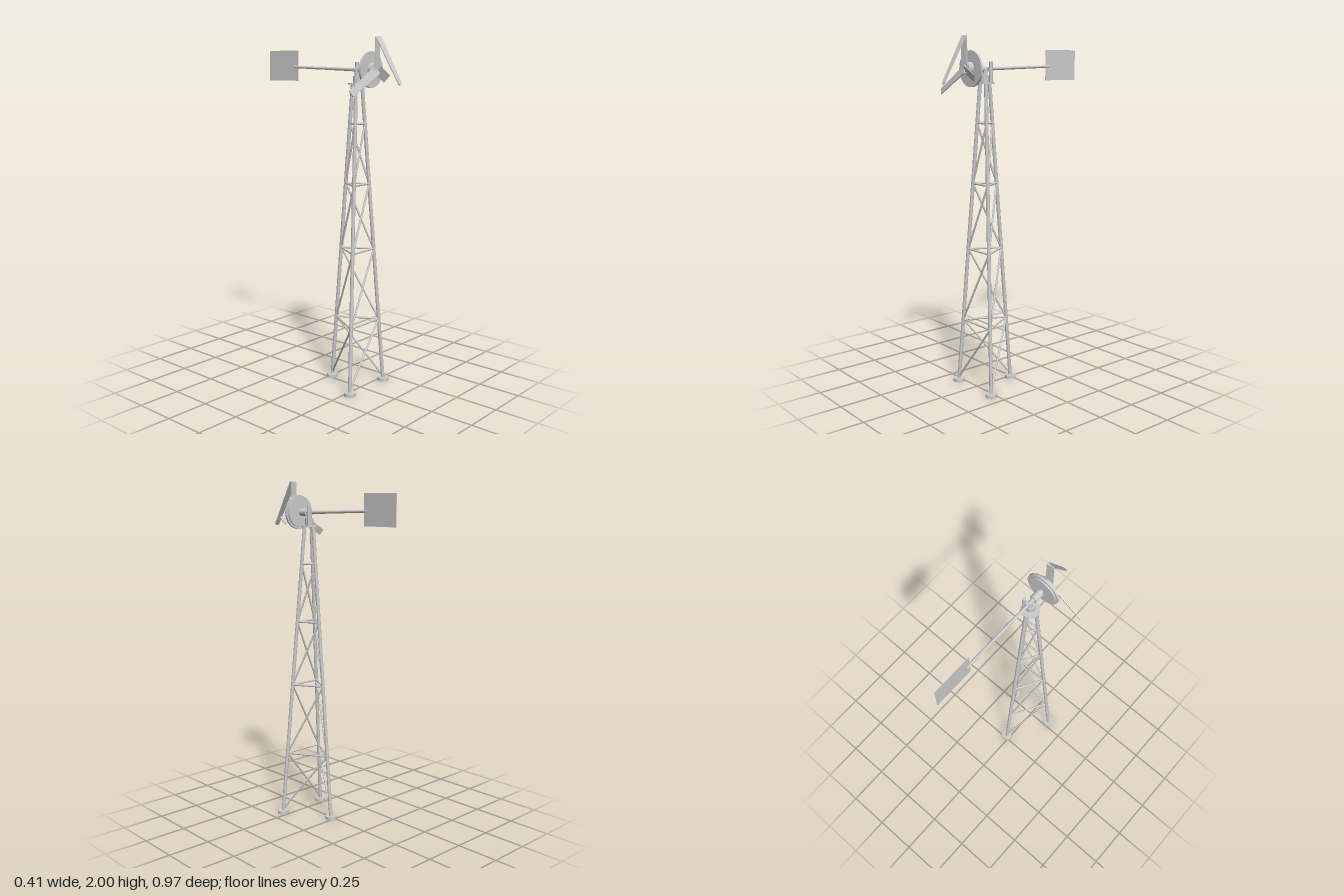
import * as THREE from 'three';

export function createModel() {
  const model = new THREE.Group();
  const steel = new THREE.MeshStandardMaterial({ color: 0xcccccc });
  const CX = 0.019, CZ = 0.193, HUB_Y = 1.825;
  const V = (x, y, z) => new THREE.Vector3(x, y, z);

  function add(name, geometry, parent = model) {
    const mesh = new THREE.Mesh(geometry, steel);
    mesh.name = name;
    parent.add(mesh);
    return mesh;
  }

  // Round bar from a to b, optionally tapering
  function bar(name, a, b, r0, r1 = r0, sides = 10, parent = model) {
    const d = b.clone().sub(a);
    const mesh = add(name, new THREE.CylinderGeometry(r1, r0, d.length(), sides), parent);
    mesh.position.copy(a).addScaledVector(d, 0.5);
    mesh.quaternion.setFromUnitVectors(V(0, 1, 0), d.normalize());
    return mesh;
  }

  // Centre line of a tower leg at height y
  function legPoint(i, y) {
    const r = THREE.MathUtils.lerp(0.1785, 0.03, y / 1.75);
    const a = Math.PI / 6 + (i * Math.PI * 2) / 3;
    return V(CX + r * Math.cos(a), y, CZ + r * Math.sin(a));
  }

  // Three-legged lattice tower, one brace per face spiralling upward
  const tower = new THREE.Group();
  tower.name = 'tower';
  model.add(tower);
  const levels = [0.03, 0.385, 0.81, 1.19, 1.53];
  for (let i = 0; i < 3; i++) {
    const j = (i + 1) % 3;
    const foot = legPoint(i, 0);
    bar('foot', foot, V(foot.x, 0.02, foot.z), 0.033, 0.033, 24, tower);
    bar('leg', foot, legPoint(i, 1.75), 0.0105, 0.0105, 10, tower);
    for (let k = 1; k < levels.length; k++) {
      const lo = levels[k - 1], hi = levels[k];
      bar('crossBar', legPoint(i, hi), legPoint(j, hi), 0.006, 0.006, 8, tower);
      bar('diagonalBrace', legPoint(j, lo), legPoint(i, hi), 0.0055, 0.0055, 8, tower);
    }
  }

  // Tower head
  bar('topPlate', V(CX, 1.744, CZ), V(CX, 1.752, CZ), 0.05, 0.05, 32);
  bar('yawTube', V(CX, 1.752, CZ + 0.003), V(CX, 1.79, CZ + 0.003), 0.024, 0.024, 24);
  bar('yawPin', V(CX, 1.79, CZ), V(CX, 1.825, CZ), 0.013, 0.013, 16);
  bar('pivotPost', V(0.044, 1.752, 0.172), V(0.044, 1.865, 0.172), 0.01, 0.01, 16);
  add('boomBracket', new THREE.BoxGeometry(0.035, 0.022, 0.018)).position.set(CX + 0.008, HUB_Y - 0.003, 0.176);

  // Generator, shaft and hub, turned along z
  const along = (name, z0, z1, r, sides = 32) => bar(name, V(CX, HUB_Y, z0), V(CX, HUB_Y, z1), r, r, sides);
  along('shaft', 0.18, 0.335, 0.011, 16);
  along('generatorHousing', 0.212, 0.265, 0.021);
  along('rearRotorDisc', 0.276, 0.284, 0.085);
  along('generatorDisc', 0.284, 0.296, 0.098);
  along('hub', 0.296, 0.328, 0.037);
  for (let i = 0; i < 6; i++) {
    const a = (i * Math.PI) / 3;
    const x = CX + 0.024 * Math.cos(a), y = HUB_Y + 0.024 * Math.sin(a);
    bar('hubBolt', V(x, y, 0.326), V(x, y, 0.338), 0.005, 0.005, 8);
  }

  // Thin blade panel growing along +y, with an optional rounded tip
  function bladeGeometry(length, w0, w1, round = 0) {
    const s = new THREE.Shape();
    const a = w0 / 2, b = w1 / 2;
    s.moveTo(-a, 0);
    s.lineTo(a, 0);
    s.lineTo(b, length - round);
    if (round) s.bezierCurveTo(b, length, -b, length, -b, length - round);
    else s.lineTo(-b, length);
    s.closePath();
    const g = new THREE.ExtrudeGeometry(s, { depth: 0.005, bevelEnabled: false, curveSegments: 10 });
    return g.translate(0, 0, -0.0025);
  }

  // Rotor: one long blade, one snapped stub, one blade folded forward
  const rotor = new THREE.Group();
  rotor.name = 'rotor';
  rotor.position.set(CX, HUB_Y, 0.333);
  model.add(rotor);
  const blades = [
    ['foldedBladeRoot', 0.174, 0.044, 0.042, 0, 0.1],
    ['longBlade', 0.25, 0.05, 0.038, 2.09, 0.35],
    ['snappedBlade', 0.1, 0.052, 0.05, -2.09, 0.45],
  ];
  for (const [name, length, w0, w1, turn, pitch] of blades) {
    const g = bladeGeometry(length, w0, w1).rotateY(pitch).rotateZ(turn);
    add(name, g, rotor);
  }
  // Folded part leans slightly sideways as it hangs forward
  const tipGeometry = bladeGeometry(0.296, 0.042, 0.028, 0.014).rotateY(0.1).rotateZ(-0.03);
  const tip = add('foldedBladeTip', tipGeometry, rotor);
  tip.position.set(0.003, 0.174, 0.003);
  tip.rotation.x = Math.PI - Math.atan2(0.147, 0.255);

  // Tail boom and vane
  bar('tailBoom', V(CX, 1.825, 0.17), V(CX, 1.838, -0.275), 0.0095, 0.0075, 14);
  add('tailVane', new THREE.BoxGeometry(0.003, 0.174, 0.234)).position.set(CX, 1.845, -0.368);

  return model;
}
